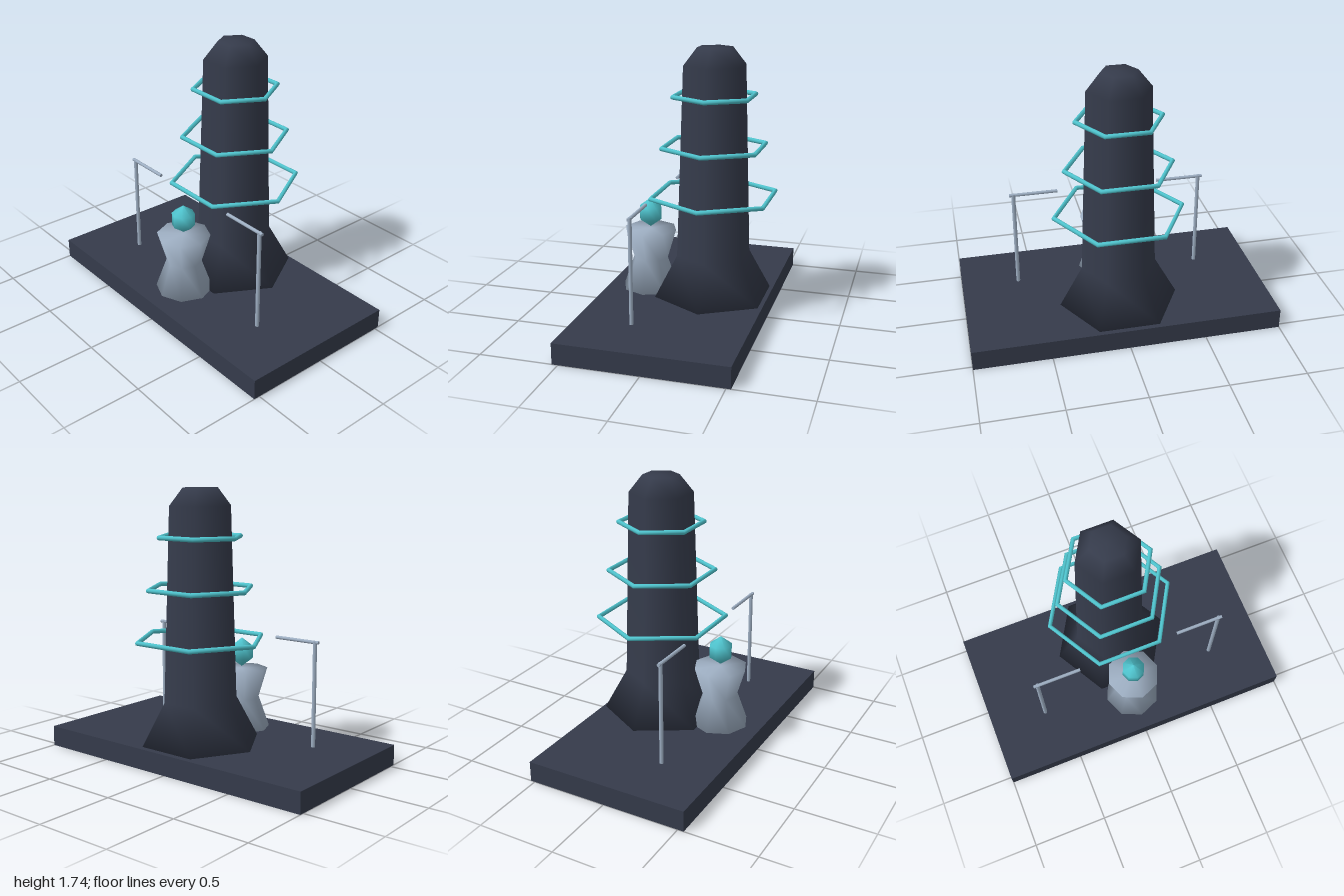
import * as THREE from 'three';

const material = (name, color, extra = {}) =>
  Object.assign(new THREE.MeshStandardMaterial({ color, ...extra }), { name });

export function createModel() {
  const model = new THREE.Group();
  model.name = 'shrine';
  const darkStone = material('dark stone', 0x353b4b);
  const paleMetal = material('pale metal', 0x9fb0c4);
  const teal = material('teal glow', 0x4fc4ce);

  const add = (name, geometry, mat, x, y, z) => {
    const mesh = new THREE.Mesh(geometry, mat);
    mesh.name = name;
    mesh.position.set(x, y, z);
    model.add(mesh);
    return mesh;
  };
  const lathe = (profile, sides) =>
    new THREE.LatheGeometry(profile.map(([r, y]) => new THREE.Vector2(r, y)), sides);

  // Floor slab
  add('base', new THREE.BoxGeometry(2, 0.133, 1.067), darkStone, 0, 0.0665, 0.005);

  // Six-sided tower with a flared foot and a chamfered top
  const towerZ = -0.167;
  const tower = lathe([[0, 0.14], [0.39, 0.14], [0.243, 0.41], [0.202, 1.63], [0.115, 1.74], [0, 1.74]], 6);
  tower.rotateY(Math.PI / 6);
  add('tower', tower, darkStone, 0, 0, towerZ);

  // Floating hexagonal rings
  [[0.413, 0.8], [0.34, 1.12], [0.268, 1.44]].forEach(([radius, y], i) => {
    const ring = new THREE.TorusGeometry(radius, 0.015, 8, 6);
    ring.rotateX(Math.PI / 2);
    add('ring' + (i + 1), ring, teal, 0, y, towerZ);
  });

  // Waisted pedestal with a crystal above it
  const pedestalZ = 0.26;
  add('pedestal', lathe([[0, 0.14], [0.187, 0.14], [0.115, 0.345], [0.173, 0.54], [0, 0.54]], 8),
    paleMetal, 0, 0, pedestalZ);
  add('crystal', lathe([[0, 0.553], [0.074, 0.608], [0.074, 0.69], [0, 0.747]], 8),
    teal, 0, 0, pedestalZ);

  // Mirrored posts with arms reaching inward
  for (const [side, s] of [['left', 1], ['right', -1]]) {
    add(side + 'Post', new THREE.CylinderGeometry(0.013, 0.013, 0.675, 8), paleMetal, s * 0.624, 0.47, 0.18);
    const arm = new THREE.CylinderGeometry(0.011, 0.011, 0.315, 8);
    arm.rotateZ(Math.PI / 2);
    add(side + 'Arm', arm, paleMetal, s * 0.4925, 0.8, 0.18);
  }
  return model;
}
